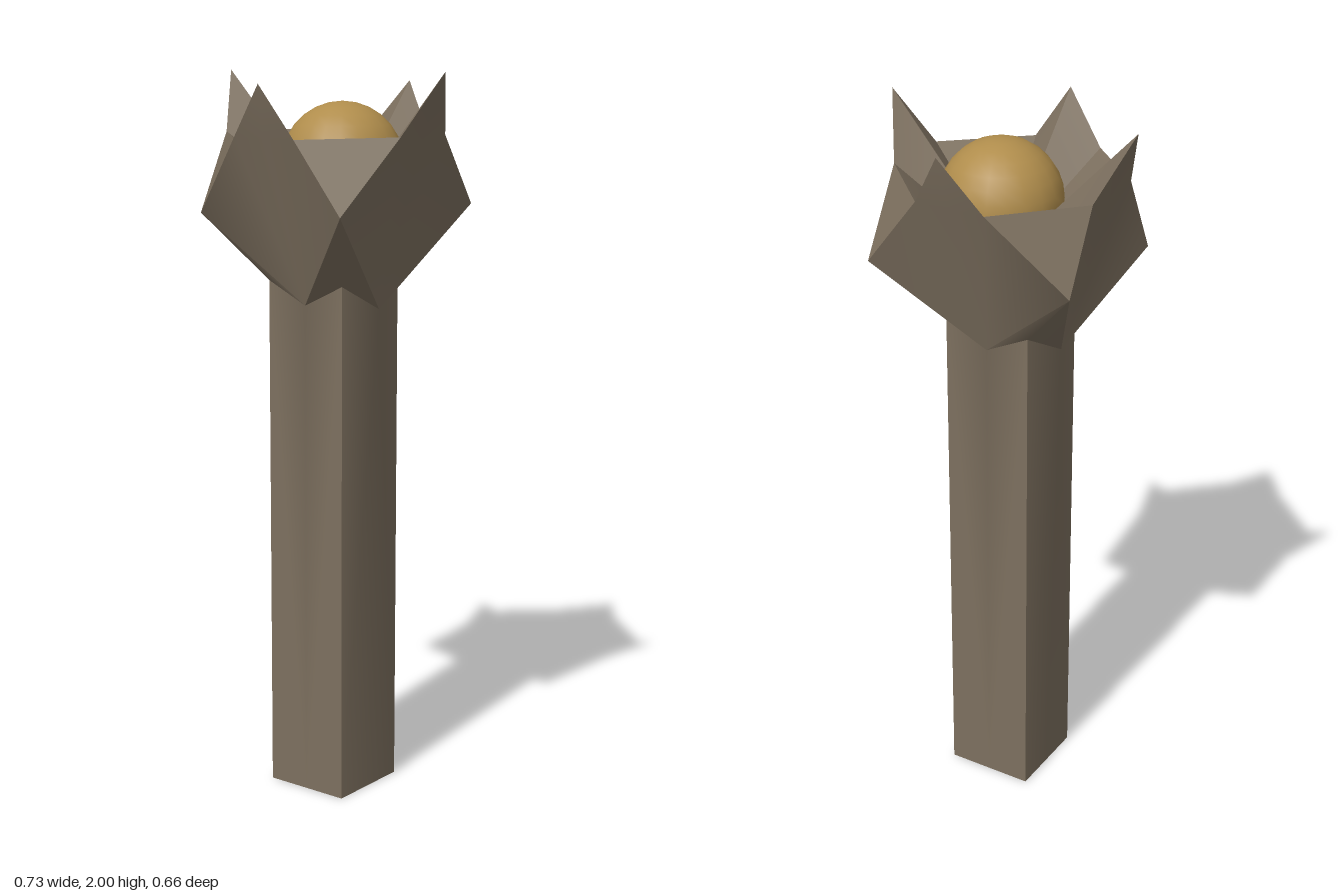
import * as THREE from 'three';
import { toCreasedNormals } from 'three/addons/utils/BufferGeometryUtils.js';

// One quarter of the post: square shaft, flared corner, half of two spiked petals, bowl
function quarter(sx, sz) {
  const p = (x, y, z) => [x * sx, y, z * sz];
  const base = [0, 0, 0], baseX = p(0.125, 0, 0), baseZ = p(0, 0, 0.125);
  const baseCorner = p(0.125, 0, 0.125), neck = p(0.125, 1.44, 0.125);
  const ridgeX = p(0.155, 1.37, 0), ridgeZ = p(0, 1.38, 0.125);
  const flare = sx > 0 ? p(0.25, 1.64, 0.295) : p(0.295, 1.62, 0.21);
  const rimX = p(0.295, 1.835, 0.1), rimZ = p(0.1, 1.83, 0.295);
  const midX = p(0.295, 1.835, 0), midZ = p(0, 1.83, 0.295);
  const tipX = p(0.363, 2, 0), tipZ = [0.013, 1.97, 0.33 * sz];
  const bowl = [0.02, 1.6, 0];
  const faces = [
    // underside
    [base, baseX, baseCorner], [base, baseCorner, baseZ],
    // shaft
    [baseCorner, baseX, ridgeX], [baseCorner, ridgeX, neck],
    [baseZ, baseCorner, neck], [baseZ, neck, ridgeZ],
    // flared petals
    [neck, ridgeX, flare], [ridgeX, rimX, flare], [ridgeX, midX, rimX], [midX, tipX, rimX],
    [ridgeZ, neck, flare], [ridgeZ, flare, rimZ], [ridgeZ, rimZ, midZ], [midZ, rimZ, tipZ],
    // corner flap and bowl
    [rimX, rimZ, flare], [bowl, rimZ, rimX], [bowl, rimX, tipX], [bowl, tipZ, rimZ],
  ];
  // mirrored quarters need the opposite winding
  return faces.flatMap(([a, b, c]) => (sx * sz > 0 ? [a, b, c] : [a, c, b]));
}

export function createModel() {
  const group = new THREE.Group();

  // Post with its four-spiked crown
  const points = [];
  for (const sx of [1, -1]) for (const sz of [1, -1]) points.push(...quarter(sx, sz));
  const geometry = new THREE.BufferGeometry();
  geometry.setAttribute('position', new THREE.Float32BufferAttribute(points.flat(), 3));
  const post = new THREE.Mesh(
    toCreasedNormals(geometry, 0.6),
    new THREE.MeshStandardMaterial({ color: 0x7d705f })
  );
  post.name = 'spikedPost';
  group.add(post);

  // Ball resting in the bowl
  const ball = new THREE.Mesh(
    new THREE.SphereGeometry(0.166, 20, 14),
    new THREE.MeshStandardMaterial({ color: 0xb08d4c })
  );
  ball.name = 'ball';
  ball.position.set(0.03, 1.755, 0);
  group.add(ball);

  return group;
}
